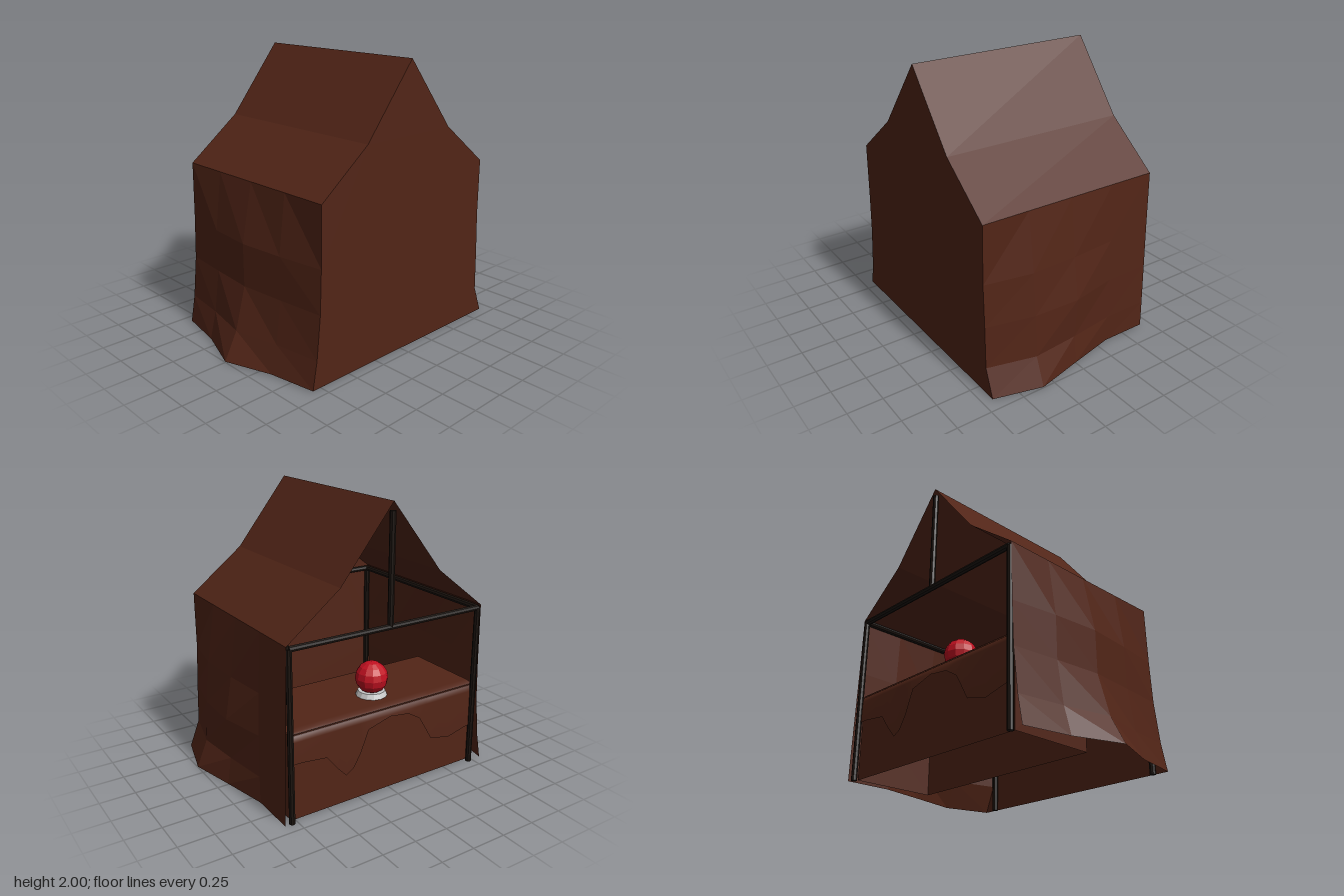
import * as THREE from 'three';

const brown = new THREE.MeshStandardMaterial({ color: 0x522517, side: THREE.DoubleSide, flatShading: true });
const dark = new THREE.MeshStandardMaterial({ color: 0x1c140f, flatShading: true });
const red = new THREE.MeshStandardMaterial({ color: 0xc01020, flatShading: true });
const grey = new THREE.MeshStandardMaterial({ color: 0xcccccc, flatShading: true });

const L = -0.74, R = 0.81, MID = 0.035, EAVE = 1.21, RIDGE = 2, D = 0.68;

function add(parent, name, geometry, material, x = 0, y = 0, z = 0) {
  const mesh = new THREE.Mesh(geometry, material);
  mesh.name = name;
  mesh.position.set(x, y, z);
  parent.add(mesh);
  return mesh;
}

// Skin over a grid of points: rows of [x, y, z], optionally turned inside out
function skin(rows, flip = false) {
  const n = rows[0].length, index = [];
  for (let i = 0; i < rows.length - 1; i++) {
    for (let j = 0; j < n - 1; j++) {
      const a = i * n + j, b = a + 1, c = a + n, d = c + 1;
      if (flip) index.push(a, b, c, b, d, c);
      else index.push(a, c, b, b, c, d);
    }
  }
  const g = new THREE.BufferGeometry();
  g.setAttribute('position', new THREE.Float32BufferAttribute(rows.flat(2), 3));
  g.setIndex(index);
  g.computeVertexNormals();
  return g;
}

// Round pole between two points
function pole(parent, name, a, b, r = 0.021) {
  const from = new THREE.Vector3(...a), to = new THREE.Vector3(...b);
  const dir = to.clone().sub(from);
  const mesh = add(parent, name, new THREE.CylinderGeometry(r, r, dir.length(), 8), dark);
  mesh.position.copy(from).add(to).multiplyScalar(0.5);
  mesh.quaternion.setFromUnitVectors(new THREE.Vector3(0, 1, 0), dir.normalize());
}

export function createModel() {
  const tent = new THREE.Group();
  tent.name = 'tent';

  // Side cloths: distance outwards per column (front to back), top to bottom
  const heights = [EAVE, 0.8, 0.5, 0.2, 0.005];
  const columns = [D, 0.34, 0, -0.34, -D + 0.005];
  const leftOut = [
    [0.81, 0.81, 0.825, 0.835, 0.91],
    [0.81, 0.87, 0.9, 0.92, 1],
    [0.81, 0.86, 0.91, 0.89, 0.92],
    [0.81, 0.83, 0.84, 0.845, 0.845],
    [0.81, 0.82, 0.83, 0.84, 0.845],
  ];
  const edge = [0.74, 0.745, 0.755, 0.785, 0.82];
  const fold = [0.74, 0.79, 0.79, 0.83, 0.88];
  const rightOut = [edge, fold, [0.74, 0.82, 0.82, 0.9, 1], fold, edge];
  const side = (out, s) => skin(out.map((col, i) => col.map((v, j) => [s * v, heights[j], columns[i]])), s > 0);
  add(tent, 'leftCloth', side(leftOut, 1), brown);
  add(tent, 'rightCloth', side(rightOut, -1), brown);

  // Roof with a break in each slope
  const roofLine = [[L, EAVE], [-0.355, 1.51], [MID, RIDGE], [0.425, 1.51], [R, EAVE]];
  add(tent, 'roof', skin(roofLine.map(([x, y]) => [[x, y, D], [x, y, -D + 0.005]]), true), brown);

  // Front wall follows the roof line and the front edges of the side cloths
  const outline = [
    ...roofLine,
    ...heights.slice(1).map((y, i) => [leftOut[0][i + 1], y]),
    ...heights.slice(1).map((y, i) => [-edge[i + 1], y]).reverse(),
  ].map(([x, y]) => new THREE.Vector2(x, y));
  add(tent, 'frontWall', new THREE.ShapeGeometry(new THREE.Shape(outline)), brown, 0, 0, D);

  // Frame of poles
  const frame = new THREE.Group();
  frame.name = 'frame';
  tent.add(frame);
  const xs = [L + 0.022, R - 0.022], zs = [D - 0.025, -D + 0.015], top = EAVE - 0.02;
  for (const z of zs) {
    for (const x of xs) pole(frame, 'cornerPole', [x, 0, z], [x, top, z]);
    pole(frame, 'crossBeam', [xs[0], top, z], [xs[1], top, z]);
    pole(frame, 'kingPost', [MID, top, z], [MID, 1.94, z]);
  }
  for (const x of xs) pole(frame, 'sideBeam', [x, top, zs[0]], [x, top, zs[1]]);

  // Table: a box without a bottom
  const table = new THREE.Group();
  table.name = 'table';
  tent.add(table);
  const x0 = -0.73, x1 = 0.78, zf = -0.03, zb = -0.64, h = 0.61;
  const ring = [[x0, zb], [x0, zf], [x1, zf], [x1, zb], [x0, zb]];
  add(table, 'tableSides', skin([h, 0.005].map(y => ring.map(([x, z]) => [x, y, z]))), brown);

  // Tablecloth: flat top, rounded edge, hanging to a wavy hem
  const hem = [[x1, 0.41], [0.7, 0.41], [0.52, 0.39], [0.44, 0.29], [0.37, 0.215], [0.31, 0.25], [0.255, 0.34],
    [0.19, 0.5], [0.013, 0.55], [-0.14, 0.53], [-0.24, 0.47], [-0.3, 0.37], [-0.346, 0.29], [-0.507, 0.25],
    [-0.67, 0.29], [x0, 0.3]];
  const clothMaterial = brown.clone();
  clothMaterial.flatShading = false;
  add(table, 'tablecloth', skin(hem.map(([x, y]) => [
    [x, h + 0.012, zf], [x, h + 0.012, -0.58], [x, h + 0.006, -0.62], [x, h - 0.015, -0.648],
    [x, h - 0.05, -0.657], [x, y, -0.66],
  ])), clothMaterial);

  // Ball on its stand
  add(table, 'ballStand', new THREE.CylinderGeometry(0.095, 0.11, 0.035, 14), grey, 0, 0.64, -0.42);
  add(table, 'ball', new THREE.SphereGeometry(0.115, 12, 8), red, 0, 0.75, -0.42);

  return tent;
}
